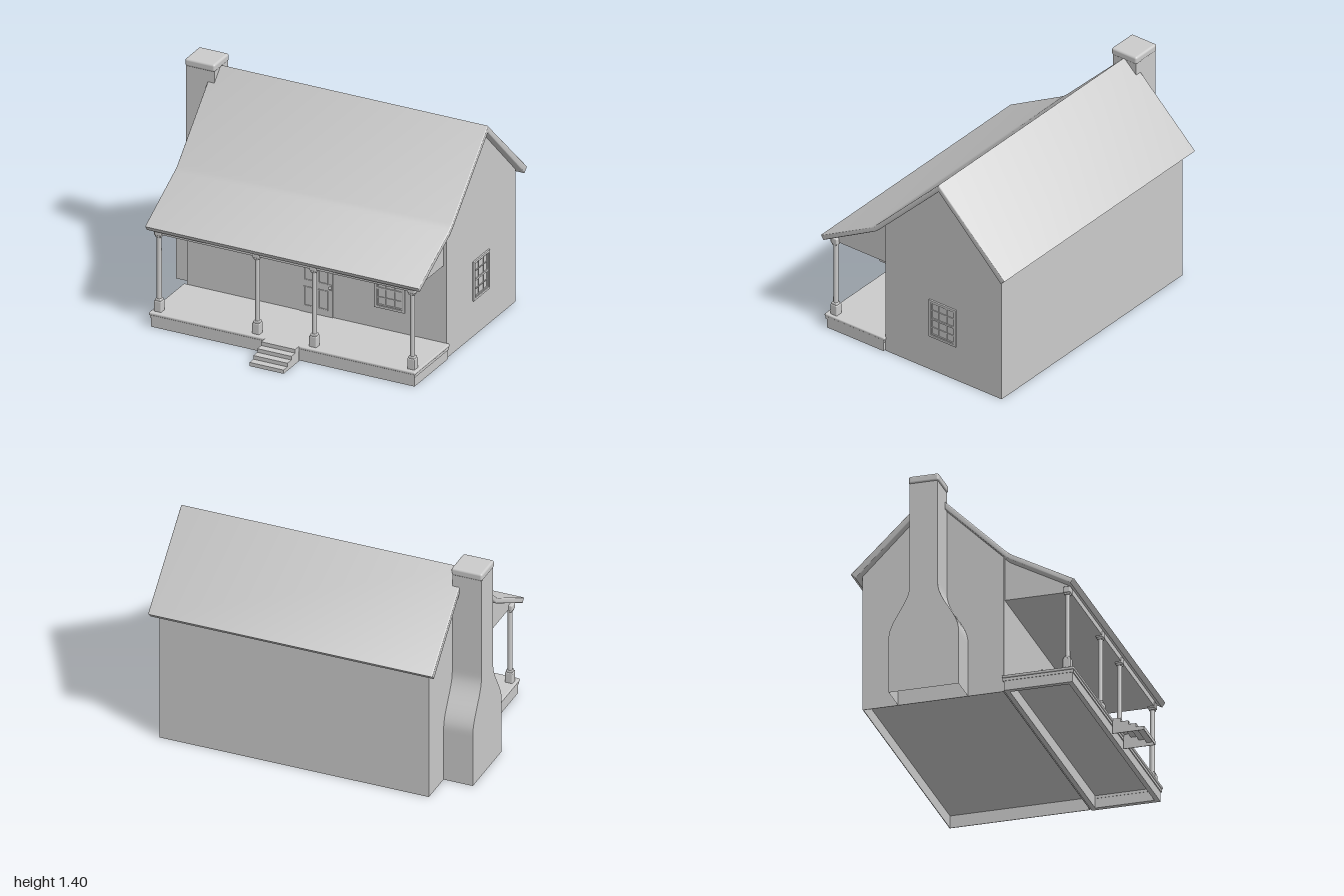
import * as THREE from 'three';
import { toCreasedNormals } from 'three/addons/utils/BufferGeometryUtils.js';
import { RoundedBoxGeometry } from 'three/addons/geometries/RoundedBoxGeometry.js';

const grey = new THREE.MeshStandardMaterial({ color: 0xcccccc });
const greyOpen = new THREE.MeshStandardMaterial({ color: 0xcccccc, side: THREE.DoubleSide });
const X0 = -0.803, X1 = 0.951;      // side walls
const FRONT = 0.15, BACK = -0.733;  // front and back walls
const FLOOR = 0.08;                 // underside of the floors

function add(parent, name, geometry, material = grey) {
  const mesh = new THREE.Mesh(geometry, material);
  mesh.name = name;
  parent.add(mesh);
  return mesh;
}

function group(parent, name) {
  const g = new THREE.Group();
  g.name = name;
  parent.add(g);
  return g;
}

// Box given by its minimum and maximum corners, optionally rounded
function box(parent, name, [x0, y0, z0], [x1, y1, z1], radius = 0) {
  const size = [x1 - x0, y1 - y0, z1 - z0];
  const geo = radius ? new RoundedBoxGeometry(...size, 3, radius) : new THREE.BoxGeometry(...size);
  const mesh = add(parent, name, geo);
  mesh.position.set((x0 + x1) / 2, (y0 + y1) / 2, (z0 + z1) / 2);
  return mesh;
}

// Extrude a [z, y] side profile along x
function sideExtrude(points, x0, x1, bevel = 0) {
  const shape = new THREE.Shape(points.map(([z, y]) => new THREE.Vector2(-z, y)));
  const geo = new THREE.ExtrudeGeometry(shape, {
    depth: x1 - x0 - 2 * bevel, bevelEnabled: bevel > 0, bevelSize: bevel,
    bevelThickness: bevel, bevelOffset: -bevel, bevelSegments: 3,
  });
  geo.rotateY(Math.PI / 2);
  geo.translate(x0 + bevel, 0, 0);
  return toCreasedNormals(geo, 0.6);
}

// Rectangular ring with a flat face towards +z
function ring(w, h, border, depth, bevel = 0.003) {
  const rect = (Type, a, b) => new Type([[-a, -b], [a, -b], [a, b], [-a, b]].map(p => new THREE.Vector2(...p)));
  const shape = rect(THREE.Shape, w / 2, h / 2);
  shape.holes.push(rect(THREE.Path, w / 2 - border, h / 2 - border));
  return new THREE.ExtrudeGeometry(shape, {
    depth: depth - bevel, bevelEnabled: bevel > 0, bevelSize: bevel,
    bevelThickness: bevel, bevelOffset: -bevel, bevelSegments: 2,
  });
}

// Horizontal ring between two corners, rising from y0 to y1
function curb(parent, name, [x0, y0, z0], [x1, y1, z1], border) {
  const mesh = add(parent, name, ring(x1 - x0, z1 - z0, border, y1 - y0, 0));
  mesh.rotation.x = -Math.PI / 2;
  mesh.position.set((x0 + x1) / 2, y0, (z0 + z1) / 2);
}

// Sash window, three panes by four, facing +z
function makeWindow(parent, name) {
  const g = group(parent, name), w = 0.205, h = 0.26;
  add(g, 'windowFrame', ring(w, h, 0.016, 0.011));
  add(g, 'windowSash', ring(w - 0.03, h - 0.03, 0.009, 0.006));
  for (const x of [-0.031, 0.031]) box(g, 'glazingBar', [x - 0.003, -0.115, 0], [x + 0.003, 0.115, 0.005]);
  for (const y of [-0.06, 0, 0.06]) {
    const t = y === 0 ? 0.006 : 0.003;
    box(g, 'glazingBar', [-0.087, y - t, 0], [0.087, y + t, y === 0 ? 0.007 : 0.005]);
  }
  return g;
}

function makeColumn(parent, x) {
  const g = group(parent, 'porchColumn');
  g.position.set(x, 0, 0.543);
  box(g, 'columnBase', [-0.025, 0.095, -0.025], [0.025, 0.168, 0.025], 0.006);
  box(g, 'columnBaseCollar', [-0.02, 0.16, -0.02], [0.02, 0.182, 0.02], 0.006);
  const shaft = add(g, 'columnShaft', new THREE.CylinderGeometry(0.015, 0.016, 0.46, 20));
  shaft.position.y = 0.39;
  box(g, 'columnCapital', [-0.024, 0.6, -0.024], [0.024, 0.64, 0.024], 0.007);
  box(g, 'columnNeck', [-0.019, 0.588, -0.019], [0.019, 0.606, 0.019], 0.005);
}

function makeDoor(parent) {
  const g = group(parent, 'frontDoor');
  box(g, 'doorLeaf', [-0.04, 0.09, FRONT - 0.01], [0.185, 0.484, FRONT + 0.006]);
  for (const x of [0.022, 0.12]) {
    for (const [y, h] of [[0.38, 0.14], [0.205, 0.13]]) {
      add(g, 'doorPanel', ring(0.066, h, 0.008, 0.005, 0.002)).position.set(x, y, FRONT + 0.005);
    }
  }
  box(g, 'doorLatchPlate', [0.163, 0.275, FRONT], [0.177, 0.315, FRONT + 0.009], 0.003);
  add(g, 'doorKnob', new THREE.SphereGeometry(0.009, 16, 12)).position.set(0.17, 0.295, FRONT + 0.014);
}

// Four hollow steps between two side cheeks
function makeSteps(parent) {
  const g = group(parent, 'frontSteps');
  const x0 = -0.042, x1 = 0.188, run = 0.0495, rise = 0.0245, back = 0.594, t = 0.004;
  const cheek = [[back, 0]];
  for (let i = 0; i < 4; i++) {
    const y = (4 - i) * rise, z0 = back + i * run, z1 = z0 + run;
    cheek.push([z0, y], [z1, y]);
    box(g, 'tread', [x0, y - t, z0 - t], [x1, y, z1]);
    box(g, 'riser', [x0, y - rise, z1 - t], [x1, y, z1]);
  }
  cheek.push([back + 4 * run, 0]);
  for (const x of [x0, x1 - t]) add(g, 'stepCheek', sideExtrude(cheek, x, x + t));
}

function makeChimney(parent) {
  const g = group(parent, 'chimney');
  // Open square tube, narrowed along z by a smooth shoulder
  const H = 1.37;
  const geo = new THREE.CylinderGeometry(Math.SQRT1_2, Math.SQRT1_2, H, 4, 48, true);
  geo.rotateY(Math.PI / 4);
  geo.translate(0, H / 2, 0);
  const p = geo.attributes.position;
  for (let i = 0; i < p.count; i++) {
    const t = THREE.MathUtils.smoothstep(p.getY(i), 0.36, 0.68);
    p.setX(i, -0.899 + p.getX(i) * 0.19);
    p.setZ(i, -0.293 + p.getZ(i) * THREE.MathUtils.lerp(0.437, 0.176, t));
  }
  add(g, 'chimneyStack', toCreasedNormals(geo, 0.6), greyOpen);
  box(g, 'chimneyCap', [-1, 1.355, -0.387], [-0.798, 1.405, -0.197], 0.014);
}

export function createModel() {
  const house = new THREE.Group();
  house.name = 'house';

  // Gabled main body, its floor raised inside a thin foundation wall
  add(house, 'walls', sideExtrude(
    [[FRONT, FLOOR], [FRONT, 0.895], [-0.29, 1.33], [BACK, 0.888], [BACK, FLOOR]], X0, X1));
  curb(house, 'foundation', [X0, 0, BACK], [X1, FLOOR, FRONT], 0.004);

  // Roof slab with a shallower pitch over the porch
  add(house, 'roof', sideExtrude([
    [0.603, 0.664], [0.225, 0.869], [0.197, 0.886], [0.17, 0.91], [-0.29, 1.366], [-0.795, 0.882],
    [-0.763, 0.85], [-0.29, 1.318], [0.155, 0.88], [0.184, 0.854], [0.212, 0.838], [0.583, 0.635],
  ], -0.85, 1, 0.007));

  // Enclosed space between porch ceiling and roof, set in from the gable walls
  add(house, 'porchCeiling', sideExtrude(
    [[0.56, 0.61], [0.56, 0.652], [0.2, 0.855], [FRONT, 0.89], [FRONT, 0.61]], -0.783, 0.93));

  // Porch floor on a hollow skirt
  const porch = group(house, 'porch');
  curb(porch, 'porchSkirt', [-0.817, 0, 0.154], [0.963, 0.066, 0.584], 0.03);
  curb(porch, 'porchTrim', [-0.82, 0.062, 0.148], [0.967, 0.084, 0.59], 0.036);
  box(porch, 'porchFloor', [-0.826, FLOOR, 0.143], [0.972, 0.099, 0.597], 0.007);
  for (const x of [-0.783, -0.12, 0.265, 0.928]) makeColumn(porch, x);

  makeSteps(house);
  makeDoor(house);
  makeWindow(house, 'frontWindow').position.set(0.569, 0.367, FRONT);
  const side = makeWindow(house, 'sideWindow');
  side.position.set(X1, 0.367, -0.287);
  side.rotation.y = Math.PI / 2;

  makeChimney(house);
  return house;
}
